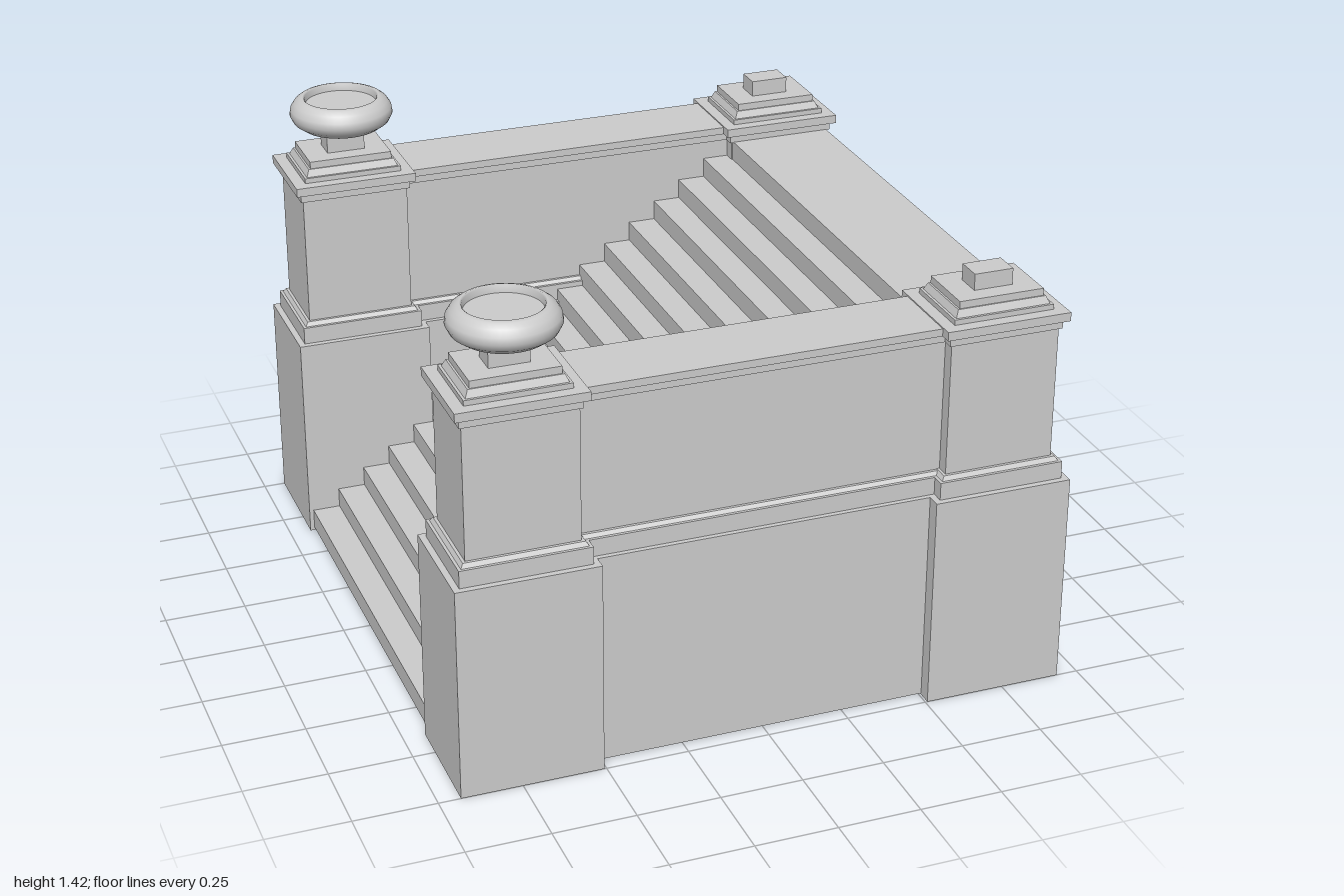
import * as THREE from 'three';

const mat = new THREE.MeshStandardMaterial({ color: 0xcccccc, side: THREE.DoubleSide });
const PZ = 0.825; // centre line of the parapets
const PX = 0.72;  // pillar centre

// Box from y0 to y1 around (x, z); the top can be narrowed by `taper` on every side
function block(name, x, z, w, d, y0, y1, taper = 0) {
  const g = new THREE.BoxGeometry(w, y1 - y0, d);
  const p = g.attributes.position;
  for (let i = 0; i < p.count; i++) {
    if (p.getY(i) > 0) {
      p.setX(i, p.getX(i) - Math.sign(p.getX(i)) * taper);
      p.setZ(i, p.getZ(i) - Math.sign(p.getZ(i)) * taper);
    }
  }
  g.computeVertexNormals();
  const m = new THREE.Mesh(g, mat);
  m.name = name;
  m.position.set(x, (y0 + y1) / 2, z);
  return m;
}

// Solid flight of steps rising towards +x, ending in a landing
function stairs() {
  const steps = 18, x0 = -0.92, tread = 0.0868, base = 0.01, top = 1.14;
  const rise = (top - base) / steps;
  const s = new THREE.Shape();
  s.moveTo(x0, base);
  for (let i = 0; i < steps; i++) {
    s.lineTo(x0 + i * tread, base + (i + 1) * rise);
    if (i < steps - 1) s.lineTo(x0 + (i + 1) * tread, base + (i + 1) * rise);
  }
  s.lineTo(0.884, top);
  s.lineTo(0.884, base);
  s.closePath();
  const g = new THREE.ExtrudeGeometry(s, { depth: 1.48, bevelEnabled: false });
  g.translate(0, 0, -0.74);
  const m = new THREE.Mesh(g, mat);
  m.name = 'stairs';
  return m;
}

// Shallow round bowl with a sunken top
function bowl(x, z) {
  const pts = [[0, 1.305], [0.045, 1.306], [0.09, 1.313], [0.125, 1.327], [0.15, 1.345],
    [0.161, 1.367], [0.158, 1.387], [0.146, 1.406], [0.13, 1.418], [0.118, 1.422],
    [0.113, 1.418], [0.111, 1.398]].map(([r, y]) => new THREE.Vector2(r, y));
  const group = new THREE.Group();
  group.name = 'bowl';
  const body = new THREE.Mesh(new THREE.LatheGeometry(pts, 48), mat);
  body.name = 'bowlBody';
  const floor = new THREE.Mesh(new THREE.CircleGeometry(0.112, 48).rotateX(-Math.PI / 2), mat);
  floor.name = 'bowlFloor';
  floor.position.y = 1.398;
  group.add(body, floor);
  group.position.set(x, 0, z);
  return group;
}

// Corner pillar: plinth, base moulding, shaft, cornice, stepped cap and finial
function pillar(x, z, hasBowl) {
  const g = new THREE.Group();
  g.name = 'pillar';
  const add = (name, w, d, y0, y1, t) => g.add(block(name, x, z, w, d, y0, y1, t));
  add('plinth', 0.427, 0.35, 0, 0.663);
  add('baseMoulding', 0.388, 0.312, 0.663, 0.717);
  add('baseFillet', 0.37, 0.294, 0.717, 0.73, 0.008);
  add('shaft', 0.336, 0.26, 0.73, 1.14);
  add('corniceLower', 0.352, 0.276, 1.138, 1.165);
  add('corniceUpper', 0.384, 0.308, 1.165, 1.192);
  add('capStep', 0.31, 0.234, 1.192, 1.208);
  add('capSlope', 0.294, 0.218, 1.208, 1.23, 0.01);
  add('capTop', 0.262, 0.19, 1.23, 1.252);
  add('finialBlock', 0.12, 0.08, 1.252, hasBowl ? 1.315 : 1.302);
  if (hasBowl) g.add(bowl(x, z));
  return g;
}

// Parapet wall between two pillars
function parapet(z) {
  const g = new THREE.Group();
  g.name = 'parapet';
  const add = (name, d, y0, y1, t) => g.add(block(name, 0, z, 1.2, d, y0, y1, t));
  add('wallPlinth', 0.262, 0.004, 0.663);
  add('wallMoulding', 0.232, 0.663, 0.717);
  add('wallFillet', 0.214, 0.717, 0.728, 0.008);
  add('wallPanel', 0.18, 0.728, 1.14);
  add('copingLower', 0.206, 1.138, 1.165);
  add('copingUpper', 0.236, 1.165, 1.188);
  return g;
}

export function createModel() {
  const model = new THREE.Group();
  model.name = 'stairway';
  model.add(stairs());
  for (const side of [-1, 1]) {
    model.add(parapet(side * PZ));
    model.add(pillar(-PX, side * PZ, true));
    model.add(pillar(PX, side * PZ, false));
  }
  return model;
}
